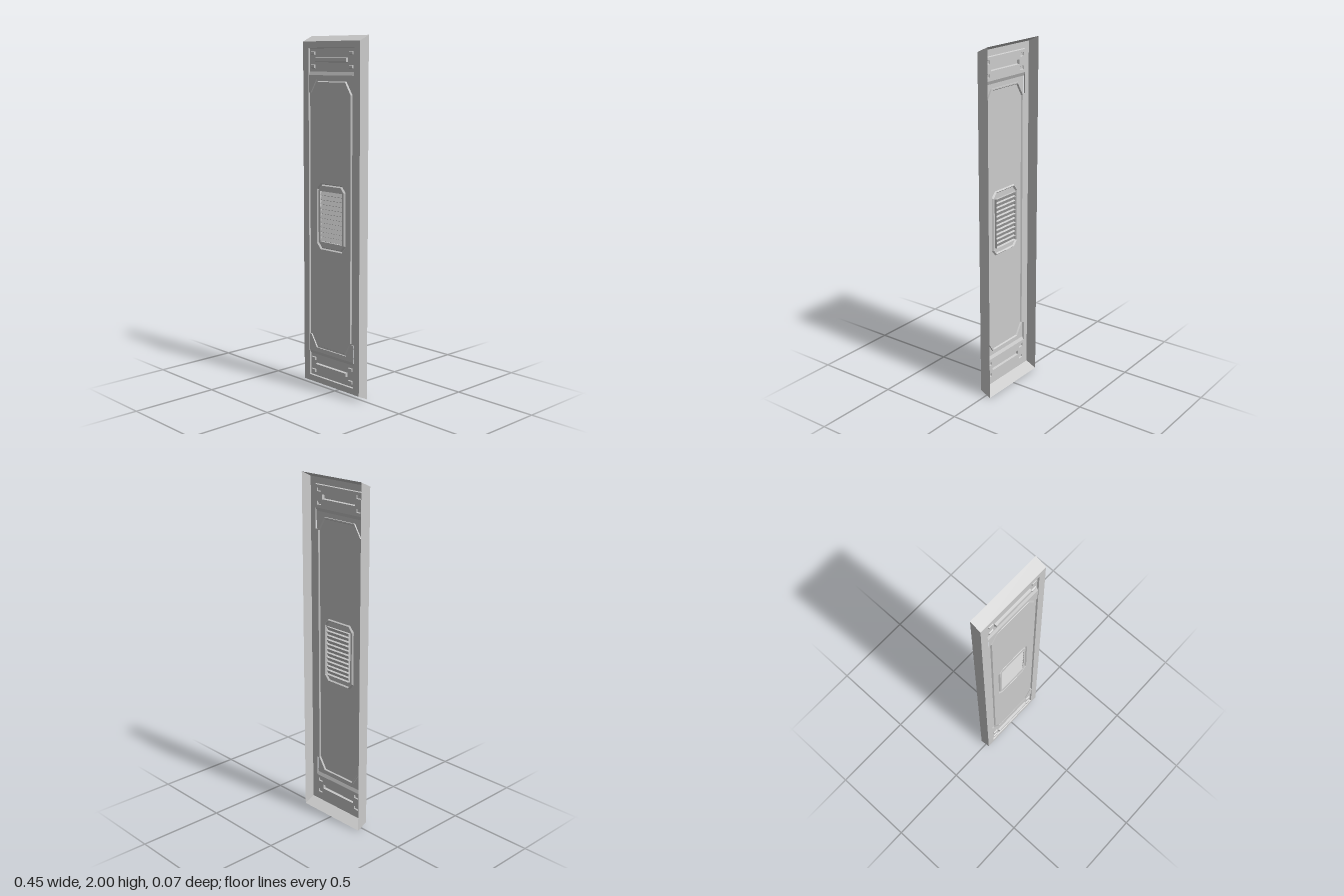
import * as THREE from 'three';

const material = new THREE.MeshStandardMaterial({ color: 0xcccccc, flatShading: true, side: THREE.DoubleSide });
const MID = 1; // height of the panel's centre

// depths of the pressed sheet, back to front
const Z = { back: -0.035, louvre: 0.015, low: 0.02, lug: 0.027, high: 0.028, frame: 0.029, bar: 0.034 };

// outlines centred on (0, y)
const rect = (hw, hh, y = MID, x = 0) => [[x - hw, y - hh], [x + hw, y - hh], [x + hw, y + hh], [x - hw, y + hh]];
const octagon = (hw, hh, cx, cy, y = MID) => [
  [-hw + cx, y - hh], [hw - cx, y - hh], [hw, y - hh + cy], [hw, y + hh - cy],
  [hw - cx, y + hh], [-hw + cx, y + hh], [-hw, y + hh - cy], [-hw, y - hh + cy],
];

function add(parent, name, geometry) {
  const mesh = new THREE.Mesh(geometry, material);
  mesh.name = name;
  parent.add(mesh);
}

// flat sheet at depth z, with openings
function sheet(outline, z, holes = []) {
  const toVectors = (loop) => loop.map(([x, y]) => new THREE.Vector2(x, y));
  const shape = new THREE.Shape(toVectors(outline));
  for (const hole of holes) shape.holes.push(new THREE.Path(toVectors(hole)));
  return new THREE.ShapeGeometry(shape).translate(0, 0, z);
}

// ruled band joining a back outline to a front outline
function band(a, za, b, zb, closed = true) {
  const p = [];
  const n = closed ? a.length : a.length - 1;
  for (let i = 0; i < n; i++) {
    const j = (i + 1) % a.length;
    const A = [...a[i], za], B = [...a[j], za], C = [...b[j], zb], D = [...b[i], zb];
    p.push(...A, ...B, ...C, ...A, ...C, ...D);
  }
  const g = new THREE.BufferGeometry();
  g.setAttribute('position', new THREE.Float32BufferAttribute(p, 3));
  g.computeVertexNormals();
  return g;
}

// hollow bevelled block pressed out of the end plate
function raised(parent, name, x, y, hw, hh, z) {
  const top = rect(hw - 0.003, hh - 0.003, y, x);
  add(parent, name + 'Sides', band(rect(hw, hh, y, x), Z.low, top, z));
  add(parent, name + 'Face', sheet(top, z));
}

export function createModel() {
  const model = new THREE.Group();
  model.name = 'wallPanel';

  // outer frame: straight sides, sloped top and bottom, open back
  const frame = new THREE.Group();
  frame.name = 'frame';
  model.add(frame);
  const opening = rect(0.18, 0.935);
  const lowOpening = rect(0.177, 0.932);
  const front = rect(0.224, 0.97);
  add(frame, 'frameSides', band(rect(0.224, 1), Z.back, front, Z.frame));
  add(frame, 'frameFace', sheet(front, Z.frame, [opening]));
  add(frame, 'frameInnerWall', band(lowOpening, Z.low, opening, Z.frame));

  // raised eight-sided field standing in a narrow trough
  const fieldBase = octagon(0.158, 0.755, 0.045, 0.07);
  const field = octagon(0.153, 0.75, 0.043, 0.068);
  const edge = [[0.177, 0.69], [0.165, 0.69], [0.119, 0.762], [-0.119, 0.762], [-0.165, 0.69], [-0.177, 0.69]];
  const edgeAt = (s) => edge.map(([x, y]) => [x, MID + s * y]);
  const ventRim = octagon(0.114, 0.187, 0.028, 0.032, 1.005);
  const ventGroove = octagon(0.1075, 0.1805, 0.0265, 0.0305, 1.005);
  const vent = octagon(0.101, 0.174, 0.025, 0.029, 1.005);
  const window = rect(0.088, 0.143, 1.005);
  add(model, 'trough', sheet([...edgeAt(1), ...edgeAt(-1).reverse()], Z.low, [fieldBase]));
  add(model, 'fieldBevel', band(fieldBase, Z.low, field, Z.high));
  add(model, 'field', sheet(field, Z.high, [ventRim]));

  // vent: grooved surround and louvres
  const grille = new THREE.Group();
  grille.name = 'vent';
  model.add(grille);
  add(grille, 'ventGrooveOuter', band(ventGroove, Z.low, ventRim, Z.high));
  add(grille, 'ventGrooveInner', band(ventGroove, Z.low, vent, Z.high));
  add(grille, 'ventFace', sheet(vent, Z.high, [window]));
  add(grille, 'ventWindowWall', band(window, Z.louvre, window, Z.high));
  const slats = 11, pitch = 0.286 / slats;
  for (let i = 0; i < slats; i++) {
    const y = 0.862 + i * pitch;
    const low = [[-0.088, y], [0.088, y]];
    const high = low.map(([x]) => [x, y + pitch]);
    const lip = low.map(([x]) => [x, y + 0.004]);
    add(grille, 'louvreUnderside', band(low, Z.louvre, lip, Z.high - 0.001, false));
    add(grille, 'louvreSlope', band(high, Z.louvre, lip, Z.high - 0.001, false));
  }

  // ends: corner plate, slope, and a recessed plate with a bar and four lugs
  for (const s of [1, -1]) {
    const end = new THREE.Group();
    end.name = s > 0 ? 'topEnd' : 'bottomEnd';
    model.add(end);
    const rim = edgeAt(s);
    const slopeTop = [[-0.177, MID + s * 0.787], [0.177, MID + s * 0.787]];
    const slopeFoot = slopeTop.map(([x]) => [x, MID + s * 0.806]);
    add(end, 'cornerPlate', sheet([...rim, ...slopeTop], Z.high));
    add(end, 'cornerPlateEdge', band(rim, Z.low, rim, Z.high, false));
    add(end, 'endSlope', band(slopeFoot, Z.low, slopeTop, Z.high, false));

    const barY = MID + s * 0.87;
    const holes = [rect(0.125, 0.013, barY)];
    raised(end, 'bar', 0, barY, 0.125, 0.013, Z.bar);
    for (const d of [0.906, 0.834]) {
      for (const x of [-0.15, 0.15]) {
        const y = MID + s * d;
        holes.push(rect(0.016, 0.01, y, x));
        raised(end, 'lug', x, y, 0.016, 0.01, Z.lug);
      }
    }
    add(end, 'endPlate', sheet(rect(0.177, 0.063, MID + s * 0.869), Z.low, holes));
  }
  return model;
}
